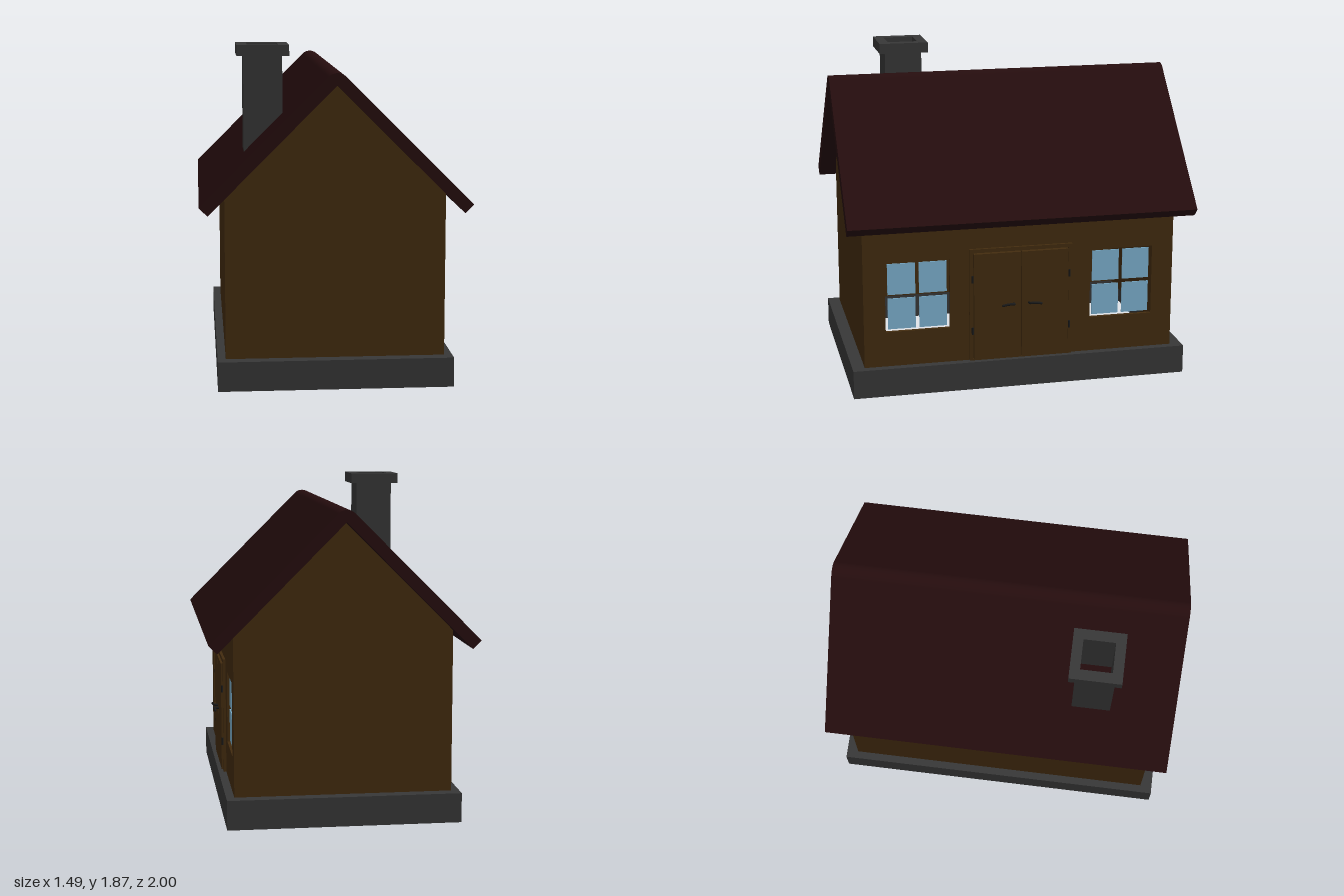
import * as THREE from 'three';

function material(name, color) {
  const m = new THREE.MeshStandardMaterial({ color, side: THREE.DoubleSide });
  m.name = name;
  return m;
}

// Rectangle outline centred on (cx, cy)
function rect(cx, cy, w, h, Type = THREE.Shape) {
  const x = w / 2, y = h / 2;
  return new Type([[-x, -y], [x, -y], [x, y], [-x, y]].map(([a, b]) => new THREE.Vector2(cx + a, cy + b)));
}

function extrude(shape, depth) {
  return new THREE.ExtrudeGeometry(shape, { depth, bevelEnabled: false, curveSegments: 8 });
}

export function createModel() {
  const house = new THREE.Group();
  house.name = 'house';
  const wood = material('brown wood', 0x432c0f);
  const stone = material('grey stone', 0x373737);
  const tile = material('dark red roof', 0x260d0e);
  const glass = material('blue glass', 0x7db2d0);
  const iron = material('dark iron', 0x1a1a1a);

  function add(name, geometry, mat, x = 0, y = 0, z = 0, parent = house) {
    const mesh = new THREE.Mesh(geometry, mat);
    mesh.name = name;
    mesh.position.set(x, y, z);
    parent.add(mesh);
    return mesh;
  }

  const base = 0.165, wallX = 0.605, wallZ = 0.905, eave = 1.067, ridge = 1.672;

  // Foundation: open skirt with a ledge around the walls
  const skirt = new THREE.CylinderGeometry(Math.SQRT1_2, Math.SQRT1_2, base, 4, 1, true)
    .rotateY(Math.PI / 4).scale(1.3, 1, 1.95).toNonIndexed();
  skirt.computeVertexNormals();
  add('foundationSides', skirt, stone, 0, base / 2, 0);
  const ledge = rect(0, 0, 1.3, 1.95);
  ledge.holes.push(rect(0, 0, wallX * 2, wallZ * 2, THREE.Path));
  add('foundationLedge', new THREE.ShapeGeometry(ledge).rotateX(-Math.PI / 2), stone, 0, base, 0);

  // Gable walls, front and back
  const gable = new THREE.Shape([
    [-wallX, base], [wallX, base], [wallX, eave], [0, ridge], [-wallX, eave],
  ].map(([x, y]) => new THREE.Vector2(x, y)));
  add('frontWall', new THREE.ShapeGeometry(gable), wood, 0, 0, wallZ);
  add('backWall', new THREE.ShapeGeometry(gable).rotateY(Math.PI), wood, 0, 0, -wallZ);

  // Plain side wall, and the side wall with window openings
  const wallH = eave - base, wallMid = (eave + base) / 2;
  add('plainSideWall', new THREE.PlaneGeometry(wallZ * 2, wallH).rotateY(-Math.PI / 2), wood, -wallX, wallMid, 0);
  const winZ = 0.596, winY = 0.575;
  const sideWall = rect(0, wallMid, wallZ * 2, wallH);
  for (const s of [-1, 1]) sideWall.holes.push(rect(s * winZ, winY, 0.37, 0.41, THREE.Path));
  add('doorSideWall', extrude(sideWall, 0.02).rotateY(Math.PI / 2), wood, wallX - 0.02, 0, 0);

  // Four separate panes in each opening
  for (const s of [-1, 1]) {
    const win = new THREE.Group();
    win.name = s > 0 ? 'frontWindow' : 'backWindow';
    win.position.set(wallX - 0.016, winY, s * winZ);
    house.add(win);
    for (const a of [-1, 1]) for (const b of [-1, 1]) {
      add('windowPane', new THREE.BoxGeometry(0.006, 0.182, 0.159), glass, 0, b * 0.102, a * 0.09, win);
    }
  }

  // Double door with frame, hinges and curved handles
  const door = new THREE.Group();
  door.name = 'doubleDoor';
  door.position.x = wallX;
  house.add(door);
  const frame = rect(0, 0.4975, 0.6, 0.665);
  frame.holes.push(rect(0, 0.49, 0.558, 0.636, THREE.Path));
  add('doorFrame', extrude(frame, 0.015).rotateY(Math.PI / 2), wood, 0, 0, 0, door);
  for (const s of [-1, 1]) {
    add('doorLeaf', new THREE.BoxGeometry(0.025, 0.628, 0.273), wood, 0.0125, 0.489, s * 0.139, door);
    for (const y of [0.345, 0.655]) {
      add('hinge', new THREE.CylinderGeometry(0.006, 0.006, 0.042, 8), iron, 0.02, y, s * 0.284, door);
    }
    const path = new THREE.CatmullRomCurve3([
      [0.02, 0.496, 0.045], [0.046, 0.499, 0.046], [0.053, 0.502, 0.06], [0.053, 0.501, 0.085], [0.05, 0.495, 0.112],
    ].map(([x, y, z]) => new THREE.Vector3(x, y, z * s)));
    add('handle', new THREE.TubeGeometry(path, 16, 0.007, 8), iron, 0, 0, 0, door);
    add('handleTip', new THREE.SphereGeometry(0.007, 8, 6), iron, 0.05, 0.495, s * 0.112, door);
  }

  // Roof: folded slab with a rounded ridge
  const r = 0.066, k = r * Math.SQRT1_2, eaveX = 0.697;
  const roof = new THREE.Shape();
  roof.moveTo(0, ridge);
  roof.lineTo(eaveX, ridge - eaveX);
  roof.lineTo(eaveX + k, ridge - eaveX + k);
  roof.lineTo(k, ridge + k);
  roof.absarc(0, ridge, r, Math.PI / 4, Math.PI * 0.75, false);
  roof.lineTo(-eaveX - k, ridge - eaveX + k);
  roof.lineTo(-eaveX, ridge - eaveX);
  roof.closePath();
  add('roof', extrude(roof, 2), tile, 0, 0, -1);

  // Hollow chimney whose foot follows the roof slope
  const chimney = new THREE.Group();
  chimney.name = 'chimney';
  chimney.position.set(-0.381, 0, 0.52);
  house.add(chimney);
  function squareTube(w, d, h) {
    const s = rect(0, 0, w, d);
    s.holes.push(rect(0, 0, 0.172, 0.176, THREE.Path));
    return extrude(s, h).rotateX(-Math.PI / 2);
  }
  const shaft = squareTube(0.216, 0.22, 1);
  const p = shaft.attributes.position;
  for (let i = 0; i < p.count; i++) {
    p.setY(i, p.getY(i) > 0.5 ? 1.81 : 1.725 - 0.381 + p.getX(i));
  }
  shaft.computeVertexNormals();
  add('chimneyShaft', shaft, stone, 0, 0, 0, chimney);
  add('chimneyCap', squareTube(0.29, 0.29, 0.06), stone, 0, 1.81, 0, chimney);

  return house;
}
